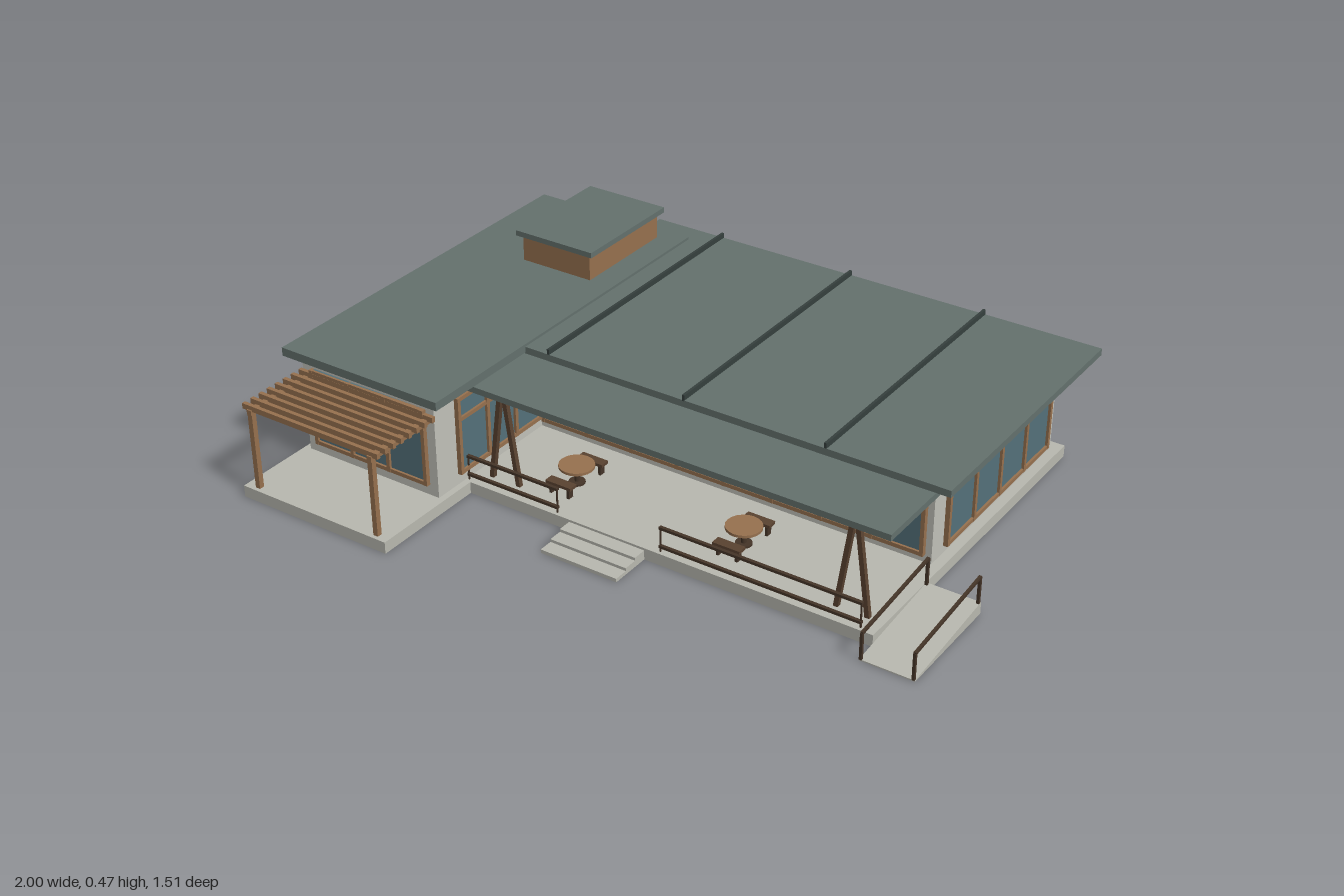
import * as THREE from 'three';

const mat = (color, double = false) => new THREE.MeshStandardMaterial({ color, side: double ? THREE.DoubleSide : THREE.FrontSide });
const WALL = mat(0xc2c2ba), SLAB = mat(0xb9b9b0), ROOF = mat(0x64716d), SEAM = mat(0x36403e);
const GLASS = mat(0x54717b), WOOD = mat(0x97714f), DARK = mat(0x5a4331), RAIL = mat(0x453528);

// Box given by its minimum and maximum along each axis
function box(parent, name, material, x0, x1, y0, y1, z0, z1) {
  const m = new THREE.Mesh(new THREE.BoxGeometry(x1 - x0, y1 - y0, z1 - z0), material);
  m.position.set((x0 + x1) / 2, (y0 + y1) / 2, (z0 + z1) / 2);
  m.name = name;
  parent.add(m);
  return m;
}

// Square bar running between two points
function bar(parent, name, material, a, b, t) {
  const p = new THREE.Vector3(...a), q = new THREE.Vector3(...b);
  const m = new THREE.Mesh(new THREE.BoxGeometry(t, t, p.distanceTo(q)), material);
  m.position.copy(p).add(q).multiplyScalar(0.5);
  m.lookAt(q);
  m.name = name;
  parent.add(m);
  return m;
}

function cylinder(parent, name, material, r, h, x, y, z) {
  const m = new THREE.Mesh(new THREE.CylinderGeometry(r, r, h, 20), material);
  m.position.set(x, y, z);
  m.name = name;
  parent.add(m);
}

function subgroup(parent, name) {
  const g = new THREE.Group();
  g.name = name;
  parent.add(g);
  return g;
}

// Glazed panel facing local +z, with frame, mullions and a transom
function glazing(parent, name, width, y0, y1, panes, x, z, turn = 0) {
  const g = subgroup(parent, name), w = width / 2, t = 0.006;
  box(g, 'glass', GLASS, -w, w, y0, y1, -0.004, 0.004);
  for (let i = 0; i <= panes; i++) {
    const c = -w + (width * i) / panes;
    box(g, 'mullion', WOOD, c - t, c + t, y0, y1, -0.004, 0.012);
  }
  for (const y of [y0 + t, 0.245, y1 - t]) box(g, 'transom', WOOD, -w, w, y - t, y + t, -0.004, 0.011);
  g.position.set(x, 0, z);
  g.rotation.y = turn;
}

function buildBase(root) {
  const g = subgroup(root, 'base');
  // One L-shaped slab outline carries the house, terrace and pergola
  const outline = [[-0.98, -0.685], [-0.58, -0.685], [-0.58, -0.725], [0.835, -0.725],
    [0.835, 0.387], [-0.465, 0.387], [-0.465, 0.755], [-0.98, 0.755]];
  const shape = new THREE.Shape(outline.map(([x, z]) => new THREE.Vector2(x, -z)));
  const slab = new THREE.Mesh(new THREE.ExtrudeGeometry(shape, { depth: 0.036, bevelEnabled: false }), SLAB);
  slab.rotation.x = -Math.PI / 2;
  slab.name = 'slab';
  g.add(slab);
  // Entrance steps
  [[0.43, 0.029], [0.473, 0.02], [0.517, 0.011]].forEach(([z, y], i) =>
    box(g, 'step', SLAB, -0.12, 0.13, 0, y, 0.387 + i * 0.043, z));
  // Side ramp, wedge-shaped in section
  const wedge = new THREE.Shape([[-0.455, 0], [-0.105, 0], [-0.105, 0.036], [-0.455, 0.004]].map(p => new THREE.Vector2(...p)));
  const ramp = new THREE.Mesh(new THREE.ExtrudeGeometry(wedge, { depth: 0.16, bevelEnabled: false }), SLAB);
  ramp.rotation.y = Math.PI / 2;
  ramp.position.x = 0.835;
  ramp.name = 'ramp';
  g.add(ramp);
  for (const x of [0.839, 0.99]) {
    bar(g, 'rampRail', RAIL, [x, 0.085, 0.455], [x, 0.117, 0.11], 0.008);
    box(g, 'rampPost', RAIL, x - 0.004, x + 0.004, 0.004, 0.085, 0.449, 0.457);
    box(g, 'rampPost', RAIL, x - 0.004, x + 0.004, 0.03, 0.117, 0.108, 0.116);
  }
}

function buildHouse(root) {
  const g = subgroup(root, 'house');
  box(g, 'mainWalls', WALL, -0.56, 0.805, 0.03, 0.345, -0.69, 0.025);
  box(g, 'wingWalls', WALL, -0.96, -0.485, 0.03, 0.347, -0.65, 0.5);
  glazing(g, 'terraceGlazing', 1.25, 0.06, 0.315, 8, 0.155, 0.028);
  glazing(g, 'wingFrontWindow', 0.4, 0.07, 0.312, 3, -0.72, 0.502);
  glazing(g, 'wingSideWindow', 0.375, 0.07, 0.315, 3, -0.483, 0.22, Math.PI / 2);
  glazing(g, 'sideWindow', 0.6, 0.06, 0.315, 4, 0.807, -0.345, Math.PI / 2);
  // Vertical timber fins on the wing's outer wall
  for (let i = 0; i < 12; i++) {
    const z = -0.47 + i * 0.083;
    box(g, 'fin', WOOD, -0.983, -0.958, 0.045, 0.33, z - 0.009, z + 0.009);
  }
}

function buildRoof(root) {
  const g = subgroup(root, 'roof');
  box(g, 'mainRoof', ROOF, -0.6, 0.905, 0.342, 0.363, -0.755, 0.14);
  box(g, 'wingRoof', ROOF, -1, -0.445, 0.345, 0.371, -0.685, 0.535);
  box(g, 'terraceCanopy', ROOF, -0.485, 0.862, 0.322, 0.341, 0.03, 0.37);
  for (const x of [-0.365, 0.09, 0.535]) box(g, 'roofSeam', SEAM, x - 0.004, x + 0.004, 0.36, 0.379, -0.755, 0.14);
  box(g, 'lanternBox', WOOD, -0.77, -0.525, 0.365, 0.454, -0.63, -0.28);
  box(g, 'lanternCap', ROOF, -0.787, -0.509, 0.453, 0.47, -0.646, -0.267);
}

function buildPergola(root) {
  const g = subgroup(root, 'pergola');
  for (const x of [-0.938, -0.507]) {
    box(g, 'pergolaPost', WOOD, x - 0.008, x + 0.008, 0.035, 0.28, 0.727, 0.743);
    box(g, 'pergolaBeam', WOOD, x - 0.008, x + 0.008, 0.273, 0.289, 0.5, 0.745);
  }
  for (let i = 0; i < 8; i++) {
    const z = 0.735 - i * 0.0325;
    box(g, 'pergolaSlat', WOOD, -0.965, -0.48, 0.285, 0.302, z - 0.006, z + 0.006);
  }
}

function buildTerrace(root) {
  const g = subgroup(root, 'terrace');
  // Splayed canopy supports
  for (const x of [-0.385, 0.738]) {
    for (const s of [-1, 1]) bar(g, 'canopyStrut', DARK, [x + s * 0.006, 0.323, 0.325], [x + s * 0.047, 0.034, 0.325], 0.014);
  }
  // Front railings
  for (const [x0, x1] of [[-0.48, -0.165], [0.172, 0.795]]) {
    for (const y of [0.112, 0.053]) box(g, 'terraceRail', RAIL, x0, x1, y - 0.004, y + 0.004, 0.37, 0.38);
    for (const x of [x0 + 0.003, x1 - 0.003]) box(g, 'railPost', RAIL, x - 0.002, x + 0.002, 0.036, 0.112, 0.373, 0.377);
  }
  // Round tables with a bench on either side
  for (const x of [-0.215, 0.34]) {
    const set = subgroup(g, 'tableSet');
    cylinder(set, 'tableTop', WOOD, 0.052, 0.008, x, 0.092, 0.22);
    cylinder(set, 'tableStem', RAIL, 0.007, 0.056, x, 0.062, 0.22);
    cylinder(set, 'tableFoot', RAIL, 0.024, 0.006, x, 0.039, 0.22);
    for (const z of [0.145, 0.295]) {
      box(set, 'benchSeat', DARK, x - 0.043, x + 0.043, 0.067, 0.076, z - 0.015, z + 0.015);
      for (const s of [-1, 1]) box(set, 'benchLeg', RAIL, x + s * 0.03 - 0.004, x + s * 0.03 + 0.004, 0.035, 0.068, z - 0.01, z + 0.01);
    }
  }
}

export function createModel() {
  const root = new THREE.Group();
  root.name = 'pavilionHouse';
  buildBase(root);
  buildHouse(root);
  buildRoof(root);
  buildPergola(root);
  buildTerrace(root);
  return root;
}
